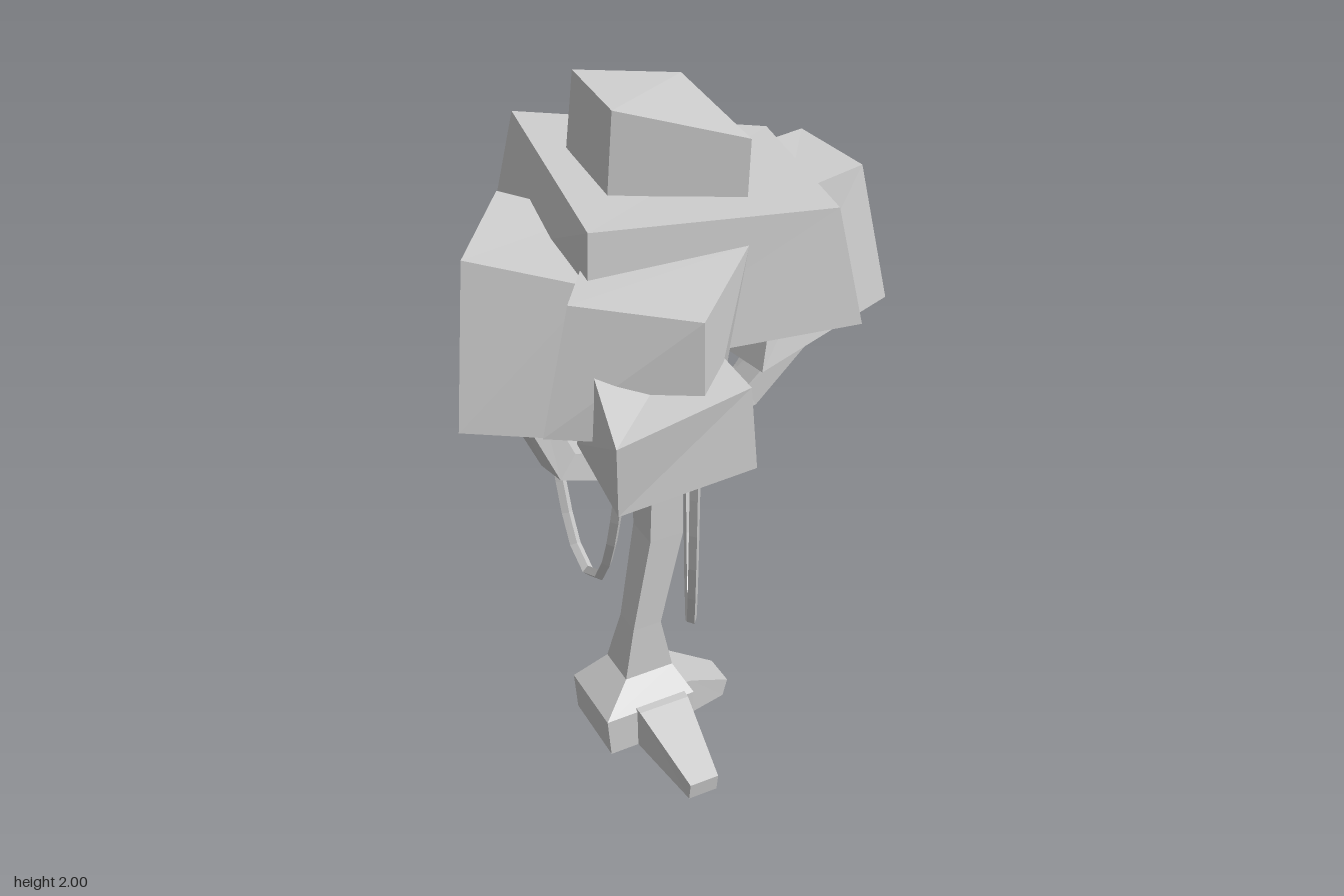
import * as THREE from 'three';

const material = new THREE.MeshStandardMaterial({ color: 0xcccccc, flatShading: true });

// Closed four-sided solid through a list of rings (each ring turns counter-clockwise about the path)
function loft(name, rings) {
  const pos = [];
  const quad = (a, b, c, d) => pos.push(...a, ...b, ...c, ...a, ...c, ...d);
  for (let i = 0; i < rings.length - 1; i++) {
    for (let k = 0; k < 4; k++) {
      const n = (k + 1) % 4;
      quad(rings[i][k], rings[i][n], rings[i + 1][n], rings[i + 1][k]);
    }
  }
  const [a, b, c, d] = rings[0];
  quad(d, c, b, a);
  quad(...rings[rings.length - 1]);
  const geometry = new THREE.BufferGeometry();
  geometry.setAttribute('position', new THREE.Float32BufferAttribute(pos, 3));
  geometry.computeVertexNormals();
  const mesh = new THREE.Mesh(geometry, material);
  mesh.name = name;
  return mesh;
}

// Square limb along a bent path; each point is [x, y, z, half width, half height]
function limb(name, path) {
  const pts = path.map((p) => new THREE.Vector3(p[0], p[1], p[2]));
  const up = new THREE.Vector3(0, 1, 0);
  const last = pts.length - 1;
  const rings = pts.map((p, i) => {
    const dir = pts[Math.min(i + 1, last)].clone().sub(pts[Math.max(i - 1, 0)]).normalize();
    const u = new THREE.Vector3().crossVectors(dir, up).normalize();
    const v = new THREE.Vector3().crossVectors(dir, u);
    const [w, h] = [path[i][3], path[i][4]];
    return [[-1, -1], [1, -1], [1, 1], [-1, 1]].map(([s, t]) =>
      p.clone().addScaledVector(u, s * w).addScaledVector(v, t * h).toArray());
  });
  return loft(name, rings);
}

// Vine sagging between two points down to a lowest height
function vine(name, from, to, low) {
  const a = new THREE.Vector3(...from), b = new THREE.Vector3(...to);
  const pts = [];
  for (let i = 0; i <= 10; i++) {
    const s = i / 5 - 1;
    const t = 0.5 + 0.5 * Math.sign(s) * Math.pow(Math.abs(s), 0.9);
    const p = a.clone().lerp(b, t);
    p.y = low + (p.y - low) * Math.pow(Math.abs(s), 2.1);
    pts.push(p);
  }
  const curve = new THREE.CatmullRomCurve3(pts);
  const mesh = new THREE.Mesh(new THREE.TubeGeometry(curve, 14, 0.016, 4, false), material);
  mesh.name = name;
  return mesh;
}

export function createModel() {
  const tree = new THREE.Group();
  tree.name = 'tree';

  // Trunk: flared foot, narrow waist, slight bend; [y, left, right, front, back]
  const trunk = [
    [0, -0.29, -0.01, 0.11, -0.13], [0.13, -0.3, -0.01, 0.11, -0.13],
    [0.21, -0.205, -0.05, 0.045, -0.085], [0.39, -0.178, -0.088, 0.047, -0.04],
    [0.7, -0.125, -0.02, 0.058, -0.05], [1.0, -0.118, -0.025, 0.065, -0.065],
    [1.45, -0.11, -0.01, 0.06, -0.06],
  ];
  tree.add(loft('trunk', trunk.map(([y, l, r, f, b]) =>
    [[l, y, f], [r, y, f], [r, y, b], [l, y, b]])));

  // Roots
  tree.add(limb('frontRoot', [[-0.12, 0.07, 0.05, 0.085, 0.07], [-0.12, 0.07, 0.12, 0.08, 0.07],
    [-0.125, 0.03, 0.385, 0.045, 0.03]]));
  tree.add(limb('sideRoot', [[-0.1, 0.075, -0.01, 0.085, 0.075], [-0.01, 0.07, -0.01, 0.08, 0.07],
    [0.14, 0.03, -0.01, 0.05, 0.03]]));

  // Branches
  tree.add(limb('leftBranch', [[-0.05, 1.05, 0, 0.05, 0.055], [0.2, 1.09, 0.005, 0.045, 0.035],
    [0.42, 1.32, 0.03, 0.04, 0.03]]));
  tree.add(limb('rightBranch', [[-0.07, 0.95, 0, 0.05, 0.055], [-0.39, 1.06, 0.05, 0.045, 0.04],
    [-0.5, 1.3, 0.08, 0.04, 0.035]]));
  tree.add(limb('frontBranch', [[-0.08, 0.98, 0, 0.06, 0.055], [-0.16, 1.05, 0.24, 0.06, 0.04],
    [-0.18, 1.26, 0.34, 0.055, 0.035]]));

  // Foliage blocks: lower and upper corners, each front right, front left, back left, back right
  const blocks = {
    mainFoliage: [
      [[-0.37, 1.4, 0.21], [0.37, 1.4, 0.31], [0.43, 1.38, -0.28], [-0.33, 1.41, -0.54]],
      [[-0.35, 1.77, 0.2], [0.3, 1.73, 0.28], [0.39, 1.75, -0.23], [-0.24, 1.81, -0.515]]],
    topFoliage: [
      [[-0.22, 1.74, 0.03], [0.11, 1.72, 0.15], [0.135, 1.72, -0.255], [-0.2, 1.75, -0.26]],
      [[-0.205, 1.99, 0.04], [0.115, 1.9, 0.155], [0.12, 1.95, -0.22], [-0.18, 2, -0.24]]],
    leftFoliage: [
      [[0.14, 1.26, 0.2], [0.66, 1.27, 0.01], [0.57, 1.3, -0.38], [0.08, 1.27, -0.15]],
      [[0.26, 1.7, 0.1], [0.57, 1.68, -0.02], [0.55, 1.69, -0.3], [0.22, 1.72, -0.17]]],
    rightFoliage: [
      [[-0.67, 1.25, 0.09], [-0.33, 1.23, 0.28], [-0.13, 1.23, -0.17], [-0.45, 1.25, -0.36]],
      [[-0.61, 1.69, 0.04], [-0.34, 1.63, 0.21], [-0.18, 1.64, -0.15], [-0.38, 1.69, -0.3]]],
    backFoliage: [
      [[-0.15, 1.18, -0.17], [0.15, 1.17, -0.15], [0.19, 1.27, -0.53], [-0.11, 1.26, -0.555]],
      [[-0.12, 1.42, -0.22], [0.18, 1.43, -0.2], [0.19, 1.54, -0.48], [-0.14, 1.54, -0.48]]],
    upperFrontFoliage: [
      [[-0.525, 1.3, 0.285], [-0.19, 1.29, 0.485], [0.0, 1.29, 0.24], [-0.3, 1.29, 0]],
      [[-0.44, 1.635, 0.27], [-0.185, 1.62, 0.47], [0.06, 1.67, 0.25], [-0.25, 1.68, 0.02]]],
    lowerFrontFoliage: [
      [[-0.44, 1.19, 0.52], [-0.05, 1.195, 0.5], [-0.06, 1.2, 0.2], [-0.4, 1.2, 0.2]],
      [[-0.455, 1.4, 0.55], [-0.075, 1.435, 0.505], [-0.08, 1.47, 0.22], [-0.4, 1.475, 0.3]]],
  };
  for (const [name, rings] of Object.entries(blocks)) tree.add(loft(name, rings));

  // Hanging vines
  tree.add(vine('longVine', [-0.14, 1.28, 0.35], [0.11, 1.28, -0.16], 0.41));
  tree.add(vine('sideVine', [-0.335, 1.26, 0.34], [-0.335, 1.26, -0.16], 0.7));
  tree.add(vine('backVine', [0.36, 1.29, -0.11], [-0.07, 1.25, -0.37], 0.95));

  return tree;
}
